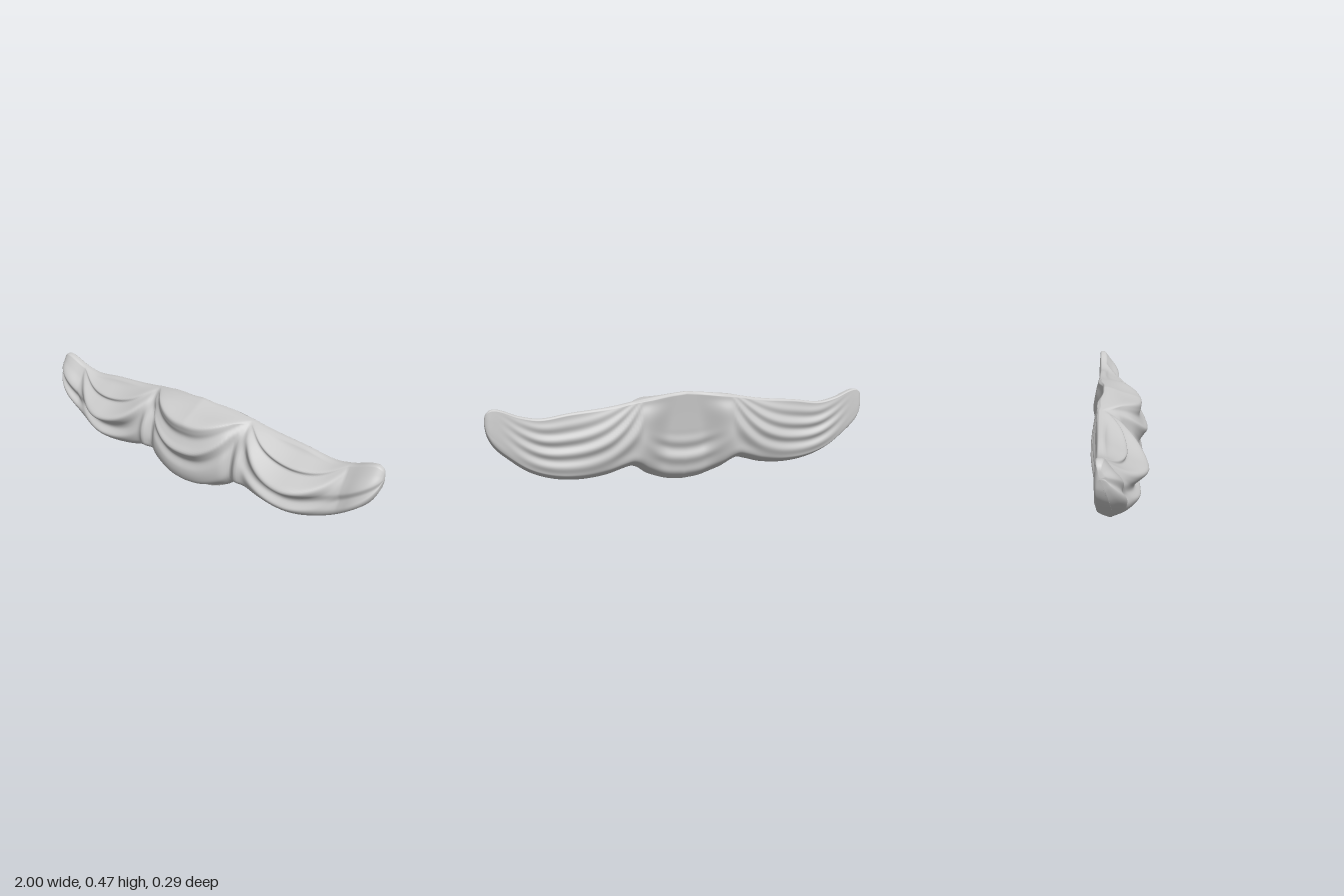
import * as THREE from 'three';

const { lerp, smoothstep } = THREE.MathUtils;

// Smooth curve through [position, value] pairs
function curve(pts) {
  const slope = (i) => {
    const a = pts[Math.max(i - 1, 0)], b = pts[Math.min(i + 1, pts.length - 1)];
    return (b[1] - a[1]) / (b[0] - a[0]);
  };
  return (x) => {
    let i = 0;
    while (i < pts.length - 2 && x > pts[i + 1][0]) i++;
    const [x0, y0] = pts[i], [x1, y1] = pts[i + 1], h = x1 - x0;
    const t = Math.min(Math.max((x - x0) / h, 0), 1), t2 = t * t, t3 = t2 * t;
    return y0 * (2 * t3 - 3 * t2 + 1) + y1 * (3 * t2 - 2 * t3)
      + h * (slope(i) * (t3 - 2 * t2 + t) + slope(i + 1) * (t3 - t2));
  };
}

// Upper and lower outline by |x|
const topEdge = curve([[0, 0.47], [0.2, 0.45], [0.4, 0.417], [0.6, 0.398], [0.74, 0.38],
  [0.84, 0.398], [0.92, 0.43], [0.96, 0.437], [0.985, 0.425], [0.996, 0.405], [1, 0.375]]);
const bottomEdge = curve([[0, 0], [0.1, 0.012], [0.2, 0.052], [0.25, 0.088], [0.285, 0.102],
  [0.33, 0.093], [0.42, 0.068], [0.55, 0.056], [0.68, 0.07], [0.8, 0.115], [0.9, 0.19],
  [0.96, 0.25], [0.99, 0.31], [1, 0.365]]);

// Depth from the top (0) to the hem (1) of each area
const centreSwag = curve([[0, -0.055], [0.06, 0.015], [0.1, 0.075], [0.14, 0.108], [0.22, 0.108], [0.3, 0.1],
  [0.38, 0.12], [0.45, 0.143], [0.53, 0.118], [0.6, 0.1], [0.7, 0.116], [0.8, 0.113], [0.88, 0.092], [0.94, 0.04], [1, 0]]);
const sideSwag = curve([[0, -0.08], [0.08, -0.055], [0.15, -0.01], [0.2, 0.025], [0.27, 0.022], [0.33, 0.06],
  [0.4, 0.115], [0.46, 0.124], [0.53, 0.1], [0.6, 0.068], [0.68, 0.06], [0.77, 0.088], [0.86, 0.068], [0.95, 0.02], [1, -0.04]]);
const pleat = curve([[0, -0.08], [0.2, -0.015], [0.5, 0.04], [0.8, 0.06], [0.92, 0.035], [1, -0.03]]);
const tip = curve([[0, -0.075], [0.2, -0.04], [0.45, 0.005], [0.62, -0.002], [0.78, 0.02], [0.9, 0.005], [1, -0.05]]);
const centreBack = curve([[0, -0.088], [0.25, -0.078], [0.5, -0.07], [0.65, -0.066], [0.75, -0.066],
  [0.85, -0.057], [0.92, -0.045], [1, -0.015]]);
const sideBack = curve([[0, -0.11], [0.2, -0.123], [0.5, -0.136], [0.75, -0.126], [0.88, -0.115], [0.95, -0.09], [1, -0.06]]);
const tipBack = curve([[0, -0.108], [0.3, -0.113], [0.7, -0.116], [0.9, -0.11], [0.95, -0.09], [1, -0.06]]);

// Folds hang in U shapes, so they climb towards the sides of a swag
const sag = (v, q) => Math.pow(v, 1 - 0.85 * Math.min(q * q, 1));
const bump = (x, at, width) => Math.exp(-(((x - at) / width) ** 2));

function frontDepth(x, v) {
  // Gathered ridge between swags, with a groove on its inner side
  const ridge = (0.028 * bump(x, 0.295, 0.024) - 0.022 * bump(x, 0.25, 0.022)) * Math.sin(Math.PI * v);
  if (x < 0.29) {
    const q = x / 0.29;
    return lerp(centreSwag(sag(v, q * 0.95)), pleat(v), Math.pow(q, 2.2)) + ridge;
  }
  if (x < 0.57) {
    const q = (0.57 - x) / 0.28;
    return lerp(sideSwag(sag(v, q * 0.9)), pleat(v), q * q) + ridge;
  }
  const q = Math.min((x - 0.57) / 0.26, 1);
  return lerp(sideSwag(sag(v, q * 0.85)), tip(v), q * q * (2 - q));
}

function backDepth(x, v) {
  // The centre is a hollow that widens towards the hem
  const side = smoothstep(x, lerp(0.05, 0.12, v), lerp(0.2, 0.29, v));
  const base = lerp(centreBack(v), lerp(sideBack(v), tipBack(v), smoothstep(x, 0.38, 0.65)), side);
  // Draped folds, meeting at the pleat and the tip on the sides
  const sideFold = Math.sin(sag(v, (x - 0.64) / 0.4) * 30) * side * (1 - smoothstep(x, 0.7, 0.95));
  const centreFold = Math.sin(sag(v, x / 0.32) * 32) * (1 - side) * smoothstep(v, 0.4, 0.65);
  return base + 0.007 * Math.sin(Math.PI * v) * (sideFold + centreFold);
}

function createDrape() {
  const columns = 240, rows = 80, ring = rows * 2;
  const positions = [], index = [];
  for (let i = 0; i <= columns; i++) {
    // Columns gather towards both tips
    const u = -1 + (2 * i) / columns, x = u * (1.5 - 0.5 * u * u), ax = Math.abs(x);
    const top = topEdge(ax), bottom = bottomEdge(ax);
    // The front falls back towards the tip while the back stays flat
    const taper = Math.max(0, (ax - 0.87) / 0.13), round = Math.max(0, (ax - 0.97) / 0.03);
    const frontClose = Math.sqrt(Math.max(0, 1 - taper ** 2));
    const backClose = Math.sqrt(Math.max(0, 1 - round ** 2));
    for (let j = 0; j < ring; j++) {
      const front = j < rows;
      const s = (front ? j + 0.5 : ring - j - 0.5) / rows;
      const v = 0.5 - 0.5 * Math.cos(Math.PI * s);
      const y = lerp(top, bottom, v);
      // Front and back meet in a rounded edge
      const b = lerp(-0.092, backDepth(ax, v), backClose);
      const f = lerp(-0.092, Math.max(frontDepth(ax, v), b + 0.024), frontClose);
      const edge = Math.min(1, Math.sqrt(Math.sin(Math.PI * s) * 3 + 0.02));
      const half = ((f - b) / 2) * edge;
      positions.push(x, y, (f + b) / 2 + (front ? half : -half));
      if (i < columns) {
        const k = (j + 1) % ring, a = i * ring, d = a + ring;
        index.push(a + j, a + k, d + k, a + j, d + k, d + j);
      }
    }
  }
  const geometry = new THREE.BufferGeometry();
  geometry.setAttribute('position', new THREE.Float32BufferAttribute(positions, 3));
  geometry.setIndex(index);
  geometry.computeVertexNormals();
  return geometry;
}

export function createModel() {
  const group = new THREE.Group();
  group.name = 'drapedValance';
  const drape = new THREE.Mesh(createDrape(), new THREE.MeshStandardMaterial({ color: 0xcccccc }));
  drape.name = 'swaggedCloth';
  group.add(drape);
  return group;
}
